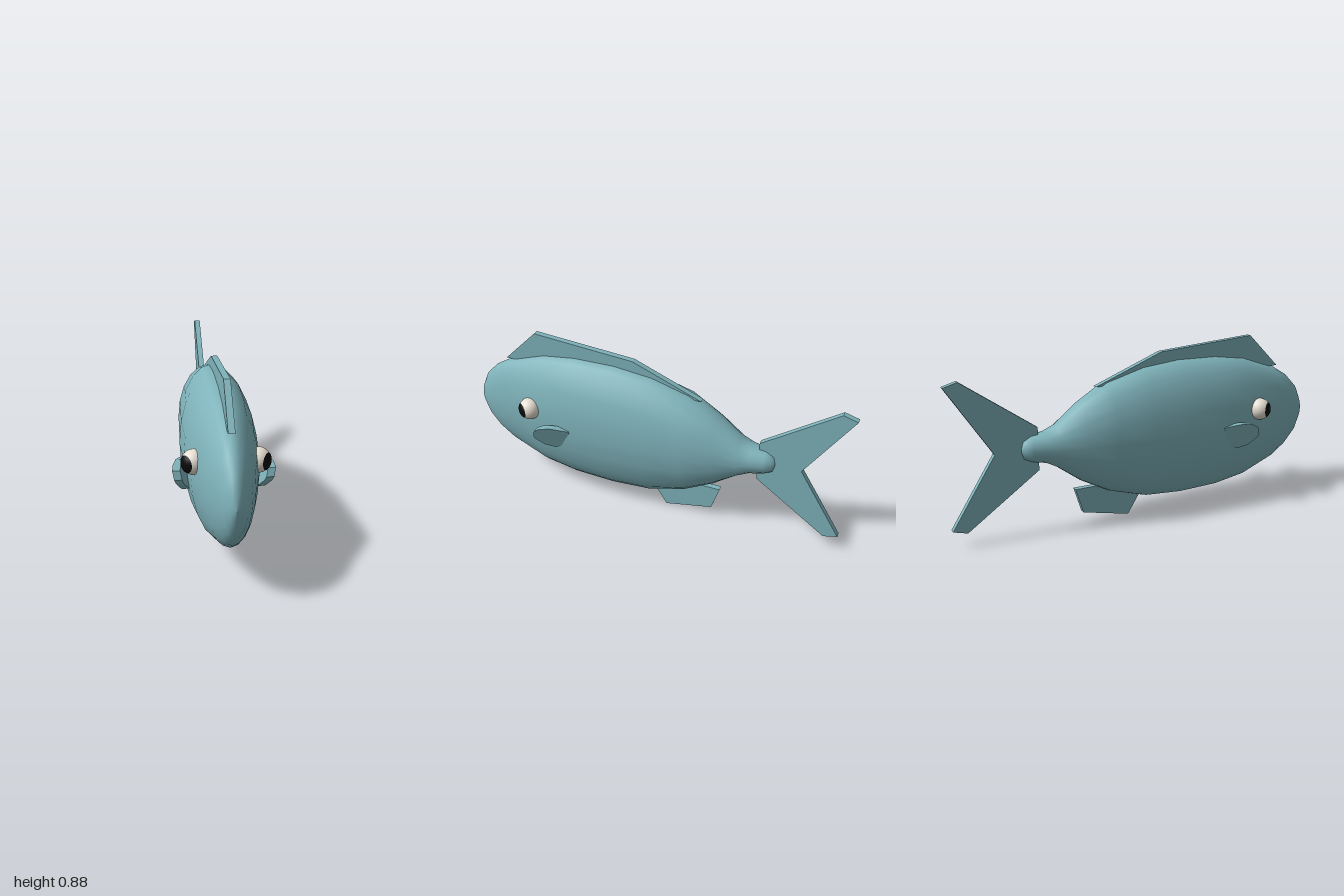
import * as THREE from 'three';

const teal = new THREE.MeshStandardMaterial({ color: 0x7fb3bb });
teal.name = 'fish teal';
const white = new THREE.MeshStandardMaterial({ color: 0xe8e0d4 });
white.name = 'eye white';
const black = new THREE.MeshStandardMaterial({ color: 0x0a0a0a });
black.name = 'pupil black';

function addMesh(parent, name, geometry, material) {
  const mesh = new THREE.Mesh(geometry, material);
  mesh.name = name;
  parent.add(mesh);
  return mesh;
}

// Flat plate drawn in (z, y) and extruded along x, centred on x = 0
function plate(points, thickness) {
  const shape = new THREE.Shape(points.map(([z, y]) => new THREE.Vector2(-z, y)));
  const geometry = new THREE.ExtrudeGeometry(shape, { depth: thickness, bevelEnabled: false });
  return geometry.translate(0, 0, -thickness / 2).rotateY(Math.PI / 2);
}

// Body stations from nose to tail root: z, top, bottom, half width
const STATIONS = [
  [1.0, 0.441, 0.439, 0.001], [0.99, 0.50, 0.375, 0.028], [0.955, 0.575, 0.30, 0.052],
  [0.89, 0.64, 0.235, 0.08], [0.8, 0.695, 0.178, 0.107], [0.6, 0.764, 0.105, 0.152],
  [0.42, 0.79, 0.078, 0.172], [0.2, 0.795, 0.073, 0.178], [0, 0.775, 0.088, 0.168],
  [-0.2, 0.72, 0.15, 0.16], [-0.35, 0.63, 0.232, 0.122], [-0.47, 0.535, 0.322, 0.092],
  [-0.53, 0.51, 0.355, 0.077], [-0.6, 0.503, 0.37, 0.063], [-0.64, 0.48, 0.39, 0.045],
  [-0.655, 0.436, 0.434, 0.001],
];

// Smooth loft of elliptical rings
function bodyGeometry(sides) {
  const positions = [], index = [];
  STATIONS.forEach(([z, top, bottom, halfWidth], i) => {
    for (let j = 0; j < sides; j++) {
      const t = (j / sides) * Math.PI * 2;
      positions.push(Math.cos(t) * halfWidth, (top + bottom) / 2 + Math.sin(t) * (top - bottom) / 2, z);
      if (i === STATIONS.length - 1) continue;
      const a = i * sides + j, b = i * sides + (j + 1) % sides;
      index.push(a, a + sides, b, b, a + sides, b + sides);
    }
    // Close the nose and the tail root
    const base = i * sides;
    for (let j = 1; j < sides - 1; j++) {
      if (i === 0) index.push(base, base + j, base + j + 1);
      if (i === STATIONS.length - 1) index.push(base, base + j + 1, base + j);
    }
  });
  const geometry = new THREE.BufferGeometry();
  geometry.setAttribute('position', new THREE.Float32BufferAttribute(positions, 3));
  geometry.setIndex(index);
  geometry.computeVertexNormals();
  return geometry;
}

// Side fin: a thin plate leaning outward toward its top and front
function sideFinGeometry(side) {
  const geometry = plate([
    [0.572, 0.40], [0.56, 0.44], [0.53, 0.457], [0.48, 0.463], [0.39, 0.445],
    [0.39, 0.40], [0.435, 0.34], [0.475, 0.32], [0.525, 0.337], [0.565, 0.38],
  ], 0.035);
  const p = geometry.attributes.position;
  for (let i = 0; i < p.count; i++) {
    const lean = 0.122 + 0.3 * (p.getY(i) - 0.32) + 0.33 * (p.getZ(i) - 0.39);
    // Mirror by flipping the lean; the plate itself is symmetric in x
    p.setX(i, p.getX(i) + side * lean);
  }
  geometry.computeVertexNormals();
  return geometry;
}

export function createModel() {
  const fish = new THREE.Group();
  fish.name = 'fish';

  addMesh(fish, 'body', bodyGeometry(20), teal);

  // Fins on the centre line
  const fins = {
    backFin: [[0.82, 0.7], [0.64, 0.878], [0.1, 0.84], [-0.26, 0.7]],
    tailFin: [[-0.565, 0.54], [-0.93, 0.8], [-1, 0.78], [-0.78, 0.435], [-1, 0.09], [-0.93, 0.07], [-0.565, 0.325]],
    bellyFin: [[0.03, 0.19], [-0.09, 0.003], [-0.34, 0.06], [-0.38, 0.19]],
  };
  for (const [name, points] of Object.entries(fins)) addMesh(fish, name, plate(points, 0.03), teal);

  // Paired fins and eyes
  for (const side of [1, -1]) {
    const label = side > 0 ? 'left' : 'right';
    addMesh(fish, label + 'SideFin', sideFinGeometry(side), teal);

    const eye = new THREE.Group();
    eye.name = label + 'Eye';
    eye.position.set(side * 0.14, 0.508, 0.628);
    addMesh(eye, 'eyeball', new THREE.SphereGeometry(0.057, 24, 16), white);
    // Pupil cap facing outward and a little forward
    const pupil = addMesh(eye, 'pupil', new THREE.SphereGeometry(0.0585, 24, 8, 0, Math.PI * 2, 0, 0.73), black);
    const gaze = new THREE.Vector3(side * Math.cos(0.63), 0, Math.sin(0.63));
    pupil.quaternion.setFromUnitVectors(new THREE.Vector3(0, 1, 0), gaze);
    fish.add(eye);
  }
  return fish;
}
